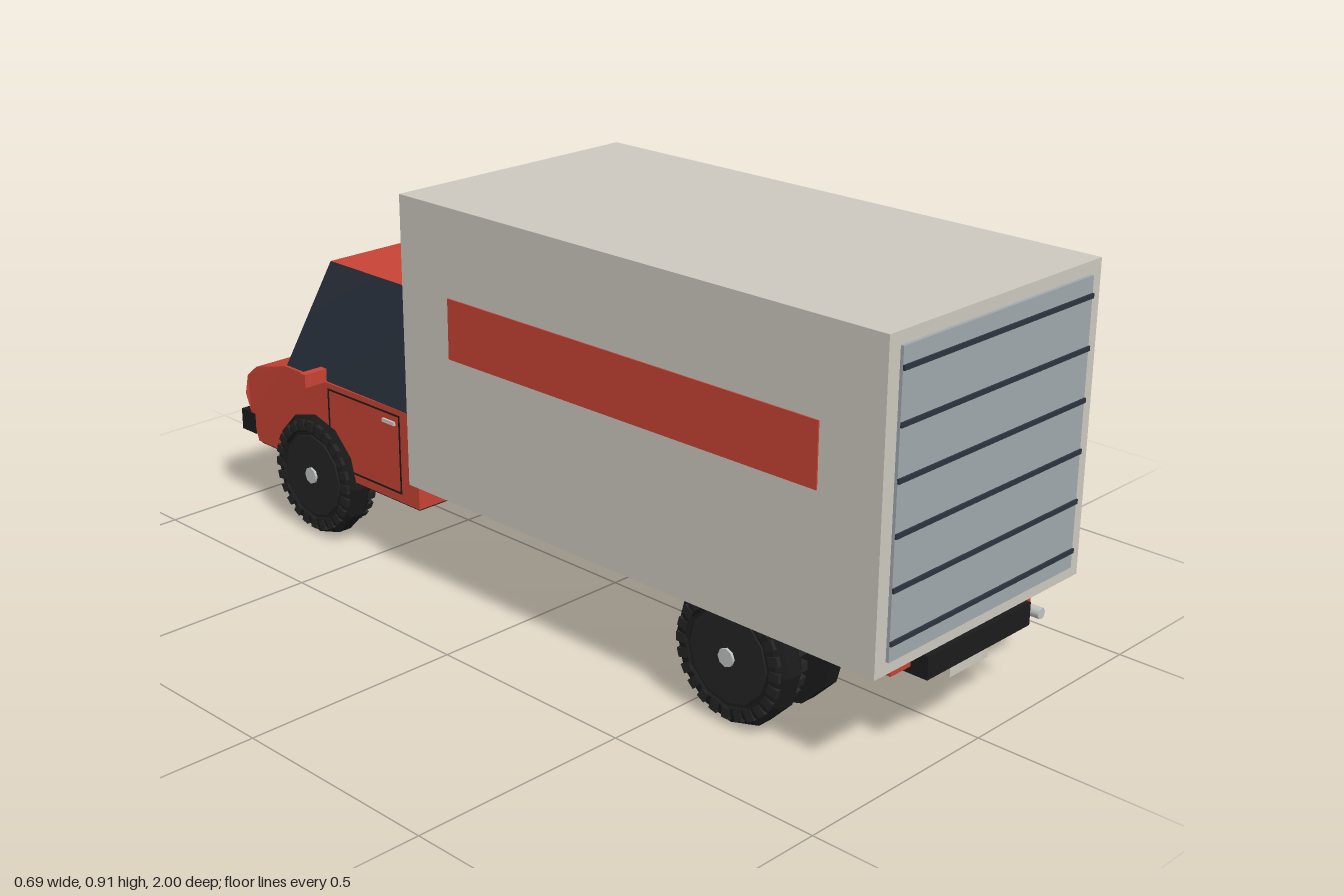
import * as THREE from 'three';

const mat = (name, color) => {
  const m = new THREE.MeshStandardMaterial({ color });
  m.name = name;
  return m;
};

export function createModel() {
  const red = mat('red paint', 0xc84335);
  const cream = mat('cargo cream', 0xcdc9c0);
  const glass = mat('dark glass', 0x2d3541);
  const black = mat('black rubber', 0x1b1b1b);
  const tread = mat('tyre tread', 0x242424);
  const steel = mat('shutter grey', 0xa1a9ae);
  const chrome = mat('light metal', 0xbfc3c2);

  const truck = new THREE.Group();
  truck.name = 'boxTruck';
  const add = (name, geo, material, parent = truck) => {
    const m = new THREE.Mesh(geo, material);
    m.name = name;
    parent.add(m);
    return m;
  };
  // Box given by its min and max along each axis
  const box = (name, material, x0, x1, y0, y1, z0, z1, parent = truck) => {
    const g = new THREE.BoxGeometry(x1 - x0, y1 - y0, z1 - z0);
    g.translate((x0 + x1) / 2, (y0 + y1) / 2, (z0 + z1) / 2);
    return add(name, g, material, parent);
  };
  // Same box on both sides
  const pair = (name, material, x0, x1, ...yz) => {
    box(name + 'Left', material, x0, x1, ...yz);
    box(name + 'Right', material, -x1, -x0, ...yz);
  };

  // Cargo body with side stripes and a slatted shutter
  box('cargoBox', cream, -0.325, 0.325, 0.243, 0.907, -0.32, 0.988);
  pair('sideStripe', red, 0.324, 0.328, 0.575, 0.71, -0.17, 0.84);
  box('shutter', steel, -0.293, 0.291, 0.27, 0.88, 0.987, 0.995);
  for (let i = 0; i < 6; i++) {
    const y = 0.308 + i * 0.1064;
    box('shutterSlat', glass, -0.293, 0.291, y - 0.005, y + 0.005, 0.994, 0.999);
  }

  // Chassis
  box('chassis', red, -0.225, 0.225, 0.2, 0.243, -0.34, 0.95);
  box('underPlate', black, -0.165, 0.165, 0.192, 0.202, -0.34, 0.95);
  box('rearBumper', black, -0.165, 0.165, 0.185, 0.235, 0.93, 0.99);
  box('rearPlate', cream, -0.062, 0.06, 0.145, 0.18, 0.962, 0.968);
  const pipe = new THREE.CylinderGeometry(0.012, 0.012, 0.09, 10);
  pipe.rotateX(Math.PI / 2).translate(0.198, 0.2, 0.95);
  add('exhaust', pipe, chrome);

  // Cab lower body: side profile (forward, up) extruded across, narrower at the hood
  const profile = [[0.33, 0.168], [0.93, 0.168], [0.955, 0.235], [0.974, 0.28], [0.972, 0.325],
    [0.935, 0.355], [0.81, 0.39], [0.33, 0.39]];
  const shape = new THREE.Shape(profile.map(([f, y]) => new THREE.Vector2(f, y)));
  let cab = new THREE.ExtrudeGeometry(shape, { depth: 0.58, steps: 1, bevelEnabled: false });
  cab.rotateY(Math.PI / 2).translate(-0.29, 0, 0);
  const cp = cab.attributes.position;
  for (let i = 0; i < cp.count; i++) {
    if (cp.getY(i) > 0.3 && cp.getZ(i) < -0.9) cp.setX(i, cp.getX(i) * 0.975);
  }
  cab.computeVertexNormals();
  add('cabBody', cab, red);
  box('cabFloor', black, -0.285, 0.285, 0.163, 0.17, -0.925, -0.335);

  // Cab top: tapered block with glass sides and painted roof
  const top = new THREE.BoxGeometry(2, 1, 1);
  const tp = top.attributes.position;
  for (let i = 0; i < tp.count; i++) {
    const s = tp.getX(i), up = tp.getY(i) > 0, back = tp.getZ(i) > 0;
    const w = up ? (back ? 0.277 : 0.262) : (back ? 0.29 : 0.282);
    const z = up ? (back ? -0.337 : -0.65) : (back ? -0.33 : -0.812);
    tp.setXYZ(i, s * w, up ? (back ? 0.682 : 0.676) : 0.389, z);
  }
  top.computeVertexNormals();
  add('cabTop', top, [glass, glass, red, glass, glass, glass]);

  // Doors: thin seams and handles
  pair('doorSeamRear', black, 0.289, 0.2915, 0.19, 0.375, -0.393, -0.389);
  pair('doorSeamFront', black, 0.289, 0.2915, 0.19, 0.375, -0.647, -0.643);
  pair('doorSeamLower', black, 0.289, 0.2915, 0.188, 0.192, -0.647, -0.389);
  pair('doorSeamUpper', black, 0.289, 0.2915, 0.373, 0.377, -0.647, -0.389);
  pair('doorHandle', cream, 0.289, 0.295, 0.35, 0.359, -0.447, -0.405);
  pair('mirror', red, 0.28, 0.345, 0.388, 0.42, -0.678, -0.658);

  // Nose: grille, headlights, bumper and plate
  box('grille', black, -0.165, 0.165, 0.268, 0.318, -0.979, -0.97);
  box('grilleBar', chrome, -0.125, 0.125, 0.29, 0.297, -0.983, -0.978);
  pair('headlightFrame', black, 0.178, 0.272, 0.268, 0.318, -0.978, -0.97);
  pair('headlight', chrome, 0.187, 0.264, 0.275, 0.311, -0.983, -0.977);
  box('frontBumper', black, -0.29, 0.29, 0.183, 0.235, -0.995, -0.94);
  box('frontPlate', cream, -0.06, 0.06, 0.195, 0.226, -0.999, -0.994);

  // Tyre: faceted lathe around the axle, with lugs round the shoulders
  const tyreGeo = new THREE.LatheGeometry([[0, -0.043], [0.11, -0.043], [0.128, -0.035],
    [0.148, -0.008], [0.148, 0.026], [0.128, 0.04], [0.112, 0.042], [0.108, 0.036], [0, 0.036]]
    .map(([r, h]) => new THREE.Vector2(r, h)), 12).toNonIndexed();
  tyreGeo.computeVertexNormals();
  const makeWheel = (side, z, name) => {
    const w = new THREE.Group();
    w.name = name;
    add('tyre', tyreGeo, black, w);
    for (let i = 0; i < 24; i++) {
      const a = (i / 24) * Math.PI * 2;
      const lug = box('tyreLug', tread, -0.01, 0.01, -0.043, 0.043, 0.11, 0.134, w);
      lug.rotation.y = a;
    }
    const face = add('wheelFace', new THREE.CylinderGeometry(0.1, 0.1, 0.006, 12), tread, w);
    face.position.y = 0.037;
    const hub = add('hubCap', new THREE.CylinderGeometry(0.02, 0.02, 0.01, 8), chrome, w);
    hub.position.y = 0.041;
    w.rotation.z = -side * Math.PI / 2;
    w.position.set(side * 0.267, 0.15, z);
    truck.add(w);
  };
  for (const side of [1, -1]) {
    const tag = side > 0 ? 'Left' : 'Right';
    makeWheel(side, -0.7, 'frontWheel' + tag);
    makeWheel(side, 0.615, 'rearWheel' + tag);
    // Inner twin wheel
    const disc = new THREE.CylinderGeometry(0.148, 0.148, 0.04, 12).toNonIndexed();
    disc.computeVertexNormals();
    disc.rotateZ(Math.PI / 2).translate(side * 0.145, 0.15, 0.615);
    add('innerRearWheel' + tag, disc, black);
  }
  const axle = new THREE.CylinderGeometry(0.018, 0.018, 0.5, 8);
  axle.rotateZ(Math.PI / 2).translate(0, 0.15, 0.615);
  add('rearAxle', axle, black);

  return truck;
}
